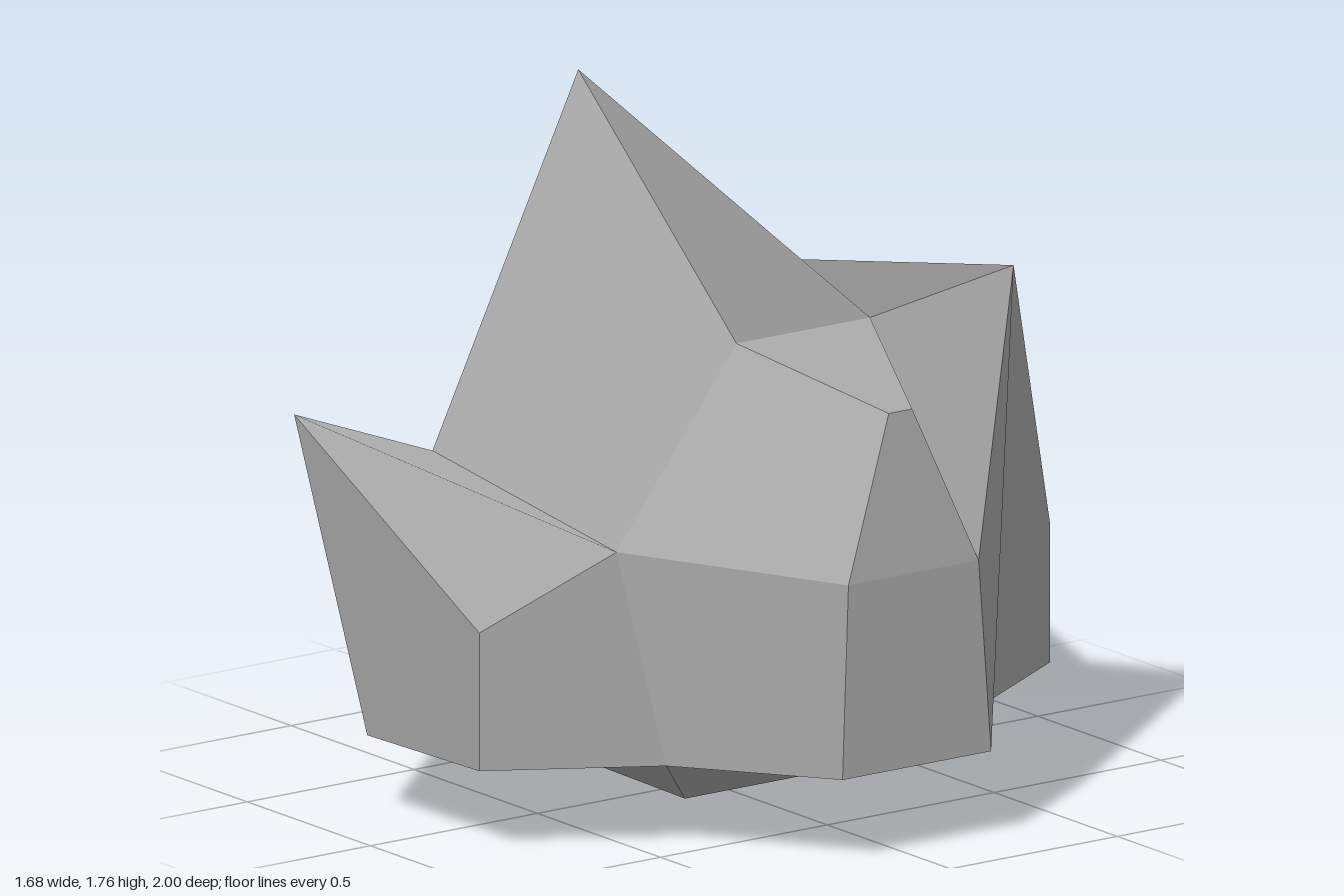
import * as THREE from 'three';

// Corners of the rock; names ending in B lie on the back half.
const P = {
  // top
  peak: [-0.22, 1.765, 0.215], peakB: [-0.22, 1.22, -0.25],
  crown: [0.375, 1.205, 0.18], crownB: [0.375, 1.205, -0.22],
  ledge: [0.77, 1.09, 0.015], ledgeB: [0.77, 1.09, -0.055],
  // shoulders
  shR: [-0.48, 0.795, 0.46], shRB: [-0.48, 0.79, -0.5],
  shL: [0.43, 0.76, 0.58], shLB: [0.43, 1.285, -0.61],
  // upper ring
  spike: [-0.31, 1.01, 1], spikeB: [-0.42, 0.7, -1],
  brow: [0.225, 0.555, 0.84], browB: [0.225, 0.555, -0.87],
  sideL: [0.83, 0.7, 0.18], sideLB: [0.83, 0.7, -0.21],
  sideR: [-0.84, 0.545, 0.2], sideRB: [-0.84, 0.97, -0.25],
  // lower ring
  lowL: [0.84, 0.22, 0.205], lowLB: [0.84, 0.22, -0.24],
  lowR: [-0.835, 0.22, 0.18], lowRB: [-0.835, 0.22, -0.22],
  footL: [0.47, 0.215, 0.46], footLB: [0.47, 0.215, -0.49],
  footR: [-0.44, 0.22, 0.575], footRB: [-0.44, 0.22, -0.6],
  toeL: [0.225, 0.21, 0.84], toeLB: [0.225, 0.205, -0.87],
  toeR: [-0.23, 0.2, 0.84], toeRB: [-0.23, 0.2, -0.87],
  // underside
  keel: [0.22, 0.04, 0.22], keelB: [0.22, 0.04, -0.25],
  belly: [-0.38, 0.065, 0.18], bellyB: [-0.38, 0.065, -0.22],
  base: [-0.77, 0, 0.02], baseB: [-0.77, 0, -0.05],
};

// Facets crossing the middle; each splits from its first to its third corner.
const middle = [
  'peak crown crownB peakB', 'crown ledge ledgeB crownB', 'ledge sideL sideLB ledgeB',
  'sideL lowL lowLB sideLB', 'shR peak peakB shRB', 'shR shRB sideRB sideR',
  'sideR sideRB lowRB lowR', 'lowR lowRB baseB base', 'base baseB bellyB belly',
  'belly bellyB keelB keel', 'keel keelB footLB footL', 'footL footLB lowLB lowL',
];
// Facets that repeat on the front and back halves.
const paired = [
  'spike brow toeL toeR', 'shL brow toeL footL', 'shL sideL lowL footL',
  'shR spike toeR footR', 'shR sideR lowR footR',
  'footR toeR toeL footL', 'footR belly keel footL', 'footR belly base lowR',
];
// Facets whose split differs between the two halves.
const uneven = [
  'shR peak crown shL', 'peakB crownB shLB shRB',
  'spike brow shL shR', 'browB shLB shRB spikeB',
  'shL crown ledge sideL', 'crownB ledgeB sideLB shLB',
];

function rockGeometry() {
  const positions = [], normals = [];
  const center = new THREE.Vector3(0, 0.5, 0);
  const addFacet = (names) => {
    let q = names.map((n) => new THREE.Vector3(...P[n]));
    // one normal for the whole four-sided facet, pointing outwards
    const normal = q[2].clone().sub(q[0]).cross(q[3].clone().sub(q[1])).normalize();
    const out = q.reduce((s, v) => s.add(v), new THREE.Vector3()).multiplyScalar(0.25).sub(center);
    if (normal.dot(out) < 0) {
      normal.negate();
      q = [q[0], q[3], q[2], q[1]];
    }
    for (const i of [0, 1, 2, 0, 2, 3]) {
      positions.push(...q[i].toArray());
      normals.push(...normal.toArray());
    }
  };
  for (const f of [...middle, ...uneven, ...paired]) addFacet(f.split(' '));
  for (const f of paired) addFacet(f.split(' ').map((n) => n + 'B'));

  const geometry = new THREE.BufferGeometry();
  geometry.setAttribute('position', new THREE.Float32BufferAttribute(positions, 3));
  geometry.setAttribute('normal', new THREE.Float32BufferAttribute(normals, 3));
  return geometry;
}

export function createModel() {
  const stone = new THREE.MeshStandardMaterial({ color: 0xaaaaaa, side: THREE.DoubleSide });
  stone.name = 'stoneGrey';
  const rock = new THREE.Mesh(rockGeometry(), stone);
  rock.name = 'rock';
  const group = new THREE.Group();
  group.name = 'jaggedRock';
  group.add(rock);
  return group;
}
